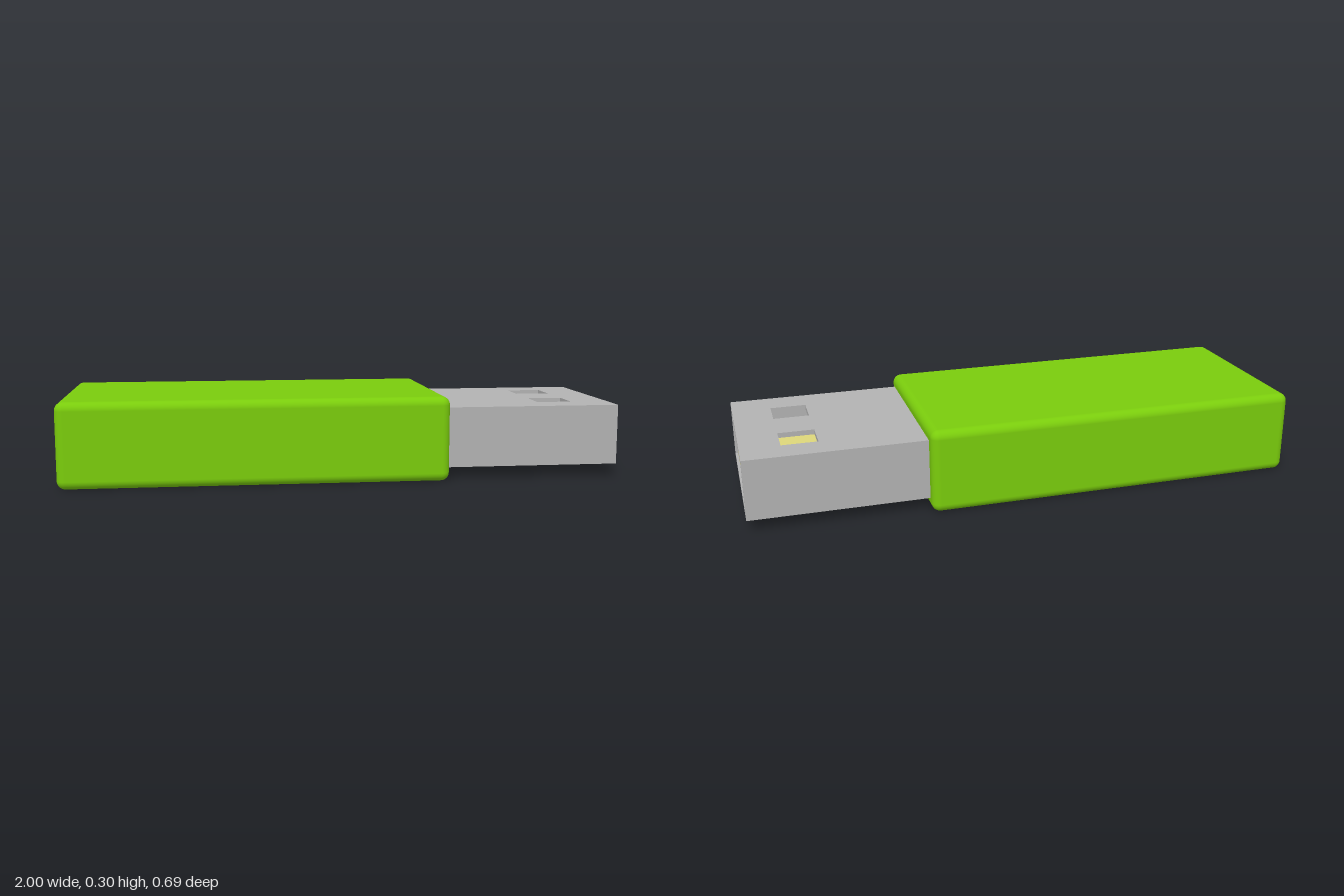
import * as THREE from 'three';
import { RoundedBoxGeometry } from 'three/addons/geometries/RoundedBoxGeometry.js';

const green = new THREE.MeshStandardMaterial({ color: 0x7acc0c });
const metal = new THREE.MeshStandardMaterial({ color: 0xb2b2b2 });
const gold = new THREE.MeshStandardMaterial({ color: 0xddd67a });

// Box given by its minimum and maximum corners
function box(name, min, max, material) {
  const size = max.map((v, i) => v - min[i]);
  const mesh = new THREE.Mesh(new THREE.BoxGeometry(...size), material);
  mesh.position.set(...max.map((v, i) => (v + min[i]) / 2));
  mesh.name = name;
  return mesh;
}

function rectangle(Type, x0, z0, x1, z1) {
  return new Type([[x0, z0], [x1, z0], [x1, z1], [x0, z1]].map(p => new THREE.Vector2(...p)));
}

export function createModel() {
  const model = new THREE.Group();
  model.name = 'flashDrive';

  // Rounded casing
  const casing = new THREE.Mesh(new RoundedBoxGeometry(1.37, 0.302, 0.69, 6, 0.03), green);
  casing.position.set(-0.315, 0.151, 0);
  casing.name = 'casing';
  model.add(casing);

  // Hollow plug shell, open at the +x end
  const x0 = 0.35, x1 = 1, y0 = 0.043, y1 = 0.26, halfZ = 0.3;
  const wall = 0.018, side = 0.021;
  const shell = new THREE.Group();
  shell.name = 'plugShell';
  shell.add(box('shellBottom', [x0, y0, -halfZ], [x1, y0 + wall, halfZ], metal));
  for (const s of [-1, 1]) {
    const edges = [s * halfZ, s * (halfZ - side)].sort((a, b) => a - b);
    shell.add(box(s > 0 ? 'shellFrontSide' : 'shellBackSide',
      [x0, y0 + wall, edges[0]], [x1, y1 - wall, edges[1]], metal));
  }
  shell.add(box('shellEndWall', [x0, y0 + wall, -halfZ + side], [0.385, y1 - wall, halfZ - side], metal));

  // Top plate with two square windows; shape y becomes -z
  const plate = rectangle(THREE.Shape, x0, -halfZ, x1, halfZ);
  for (const z of [-0.139, 0.129]) {
    plate.holes.push(rectangle(THREE.Path, 0.733, -z - 0.059, 0.861, -z + 0.059));
  }
  const top = new THREE.Mesh(
    new THREE.ExtrudeGeometry(plate, { depth: wall, bevelEnabled: false }).rotateX(-Math.PI / 2), metal);
  top.position.y = y1 - wall;
  top.name = 'shellTop';
  shell.add(top);
  model.add(shell);

  // Contact tongue filling the lower half of the shell
  model.add(box('contactTongue', [0.385, y0 + wall, -halfZ + side], [0.99, 0.146, halfZ - side], gold));
  return model;
}
